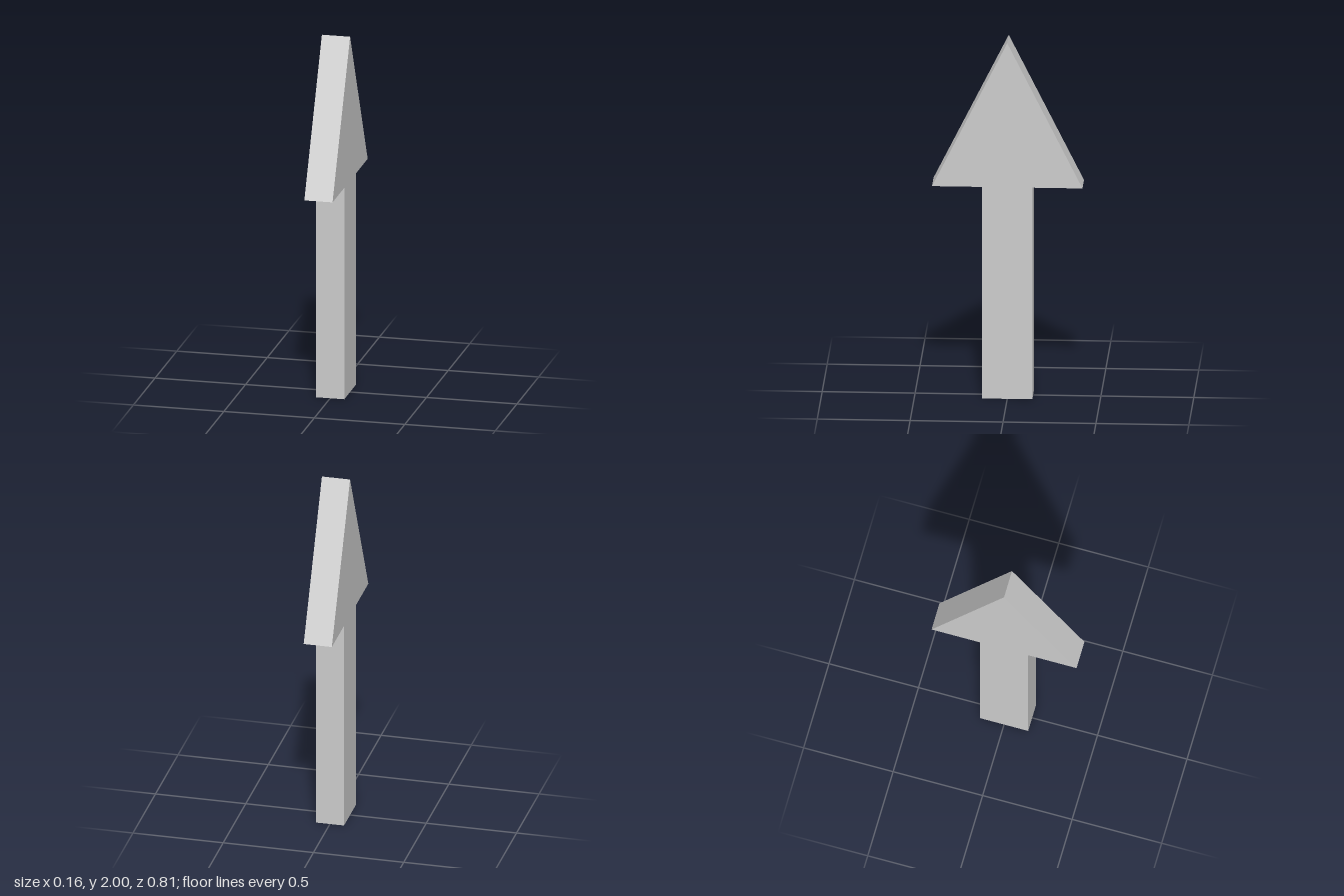
import * as THREE from 'three';

export function createModel() {
  const thickness = 0.156;
  const height = 2;
  const headBase = 1.19;
  const headHalf = 0.405;
  const shaftHalf = 0.135;

  // Half outline of the arrow from foot to tip, mirrored for the other half
  const half = [[shaftHalf, 0], [shaftHalf, headBase], [headHalf, headBase]];
  const mirrored = half.map(([u, y]) => [-u, y]).reverse();
  const outline = [...half, [0, height], ...mirrored].map(([u, y]) => new THREE.Vector2(u, y));

  // Flat slab, turned so its broad faces look along x
  const geometry = new THREE.ExtrudeGeometry(new THREE.Shape(outline), {
    depth: thickness,
    bevelEnabled: false,
  });
  geometry.translate(0, 0, -thickness / 2);
  geometry.rotateY(Math.PI / 2);

  const arrow = new THREE.Mesh(
    geometry,
    new THREE.MeshStandardMaterial({ color: 0xcccccc, flatShading: true })
  );
  arrow.name = 'arrow';

  const model = new THREE.Group();
  model.name = 'upArrow';
  model.add(arrow);
  return model;
}
